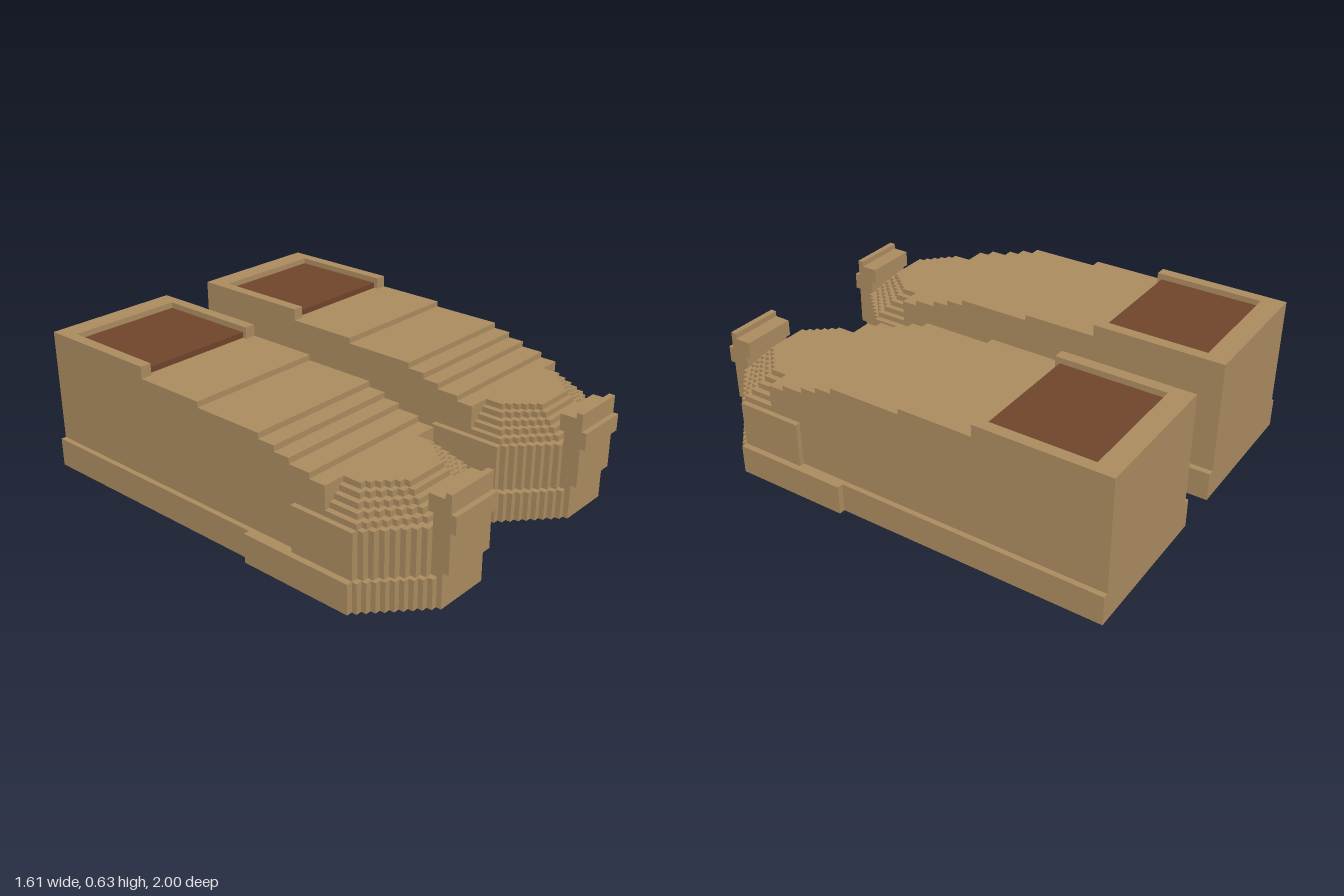
import * as THREE from 'three';

const leather = new THREE.MeshStandardMaterial({ color: 0xac8c60 });
leather.name = 'tan leather';
const lining = new THREE.MeshStandardMaterial({ color: 0x70452c });
lining.name = 'brown lining';

const TOE = [0.305, 0.555]; // x range of the toe tip

function createShoe(side) {
  const shoe = new THREE.Group();
  shoe.name = side > 0 ? 'leftShoe' : 'rightShoe';

  function add(name, geometry, material) {
    const mesh = new THREE.Mesh(geometry, material);
    mesh.name = name;
    shoe.add(mesh);
  }

  // Box from its minimum and maximum on each axis
  function box(name, [x0, x1], [y0, y1], [z0, z1], material = leather) {
    const g = new THREE.BoxGeometry(x1 - x0, y1 - y0, z1 - z0);
    g.translate(side * (x0 + x1) / 2, (y0 + y1) / 2, (z0 + z1) / 2);
    add(name, g, material);
  }

  // Flat slab whose front corners are cut into small stairs
  function steppedSlab(name, [x0, x1], [y0, y1], [z0, zs, z1], [t0, t1], steps) {
    const outline = [[x0, z0], [x0, zs]];
    const right = [[x1, z0], [x1, zs]];
    for (let i = 1; i <= steps; i++) {
      const za = zs + (z1 - zs) * (i - 1) / steps;
      const zb = zs + (z1 - zs) * i / steps;
      const xl = x0 + (t0 - x0) * i / steps;
      const xr = x1 + (t1 - x1) * i / steps;
      outline.push([xl, za], [xl, zb]);
      right.push([xr, za], [xr, zb]);
    }
    const points = [...outline, ...right.reverse()].map(([x, z]) => new THREE.Vector2(side * x, -z));
    const g = new THREE.ExtrudeGeometry(new THREE.Shape(points), { depth: y1 - y0, bevelEnabled: false });
    g.rotateX(-Math.PI / 2);
    g.translate(0, y0, 0);
    add(name, g, leather);
  }

  // Sole: narrow heel half and wide front half
  box('heelSole', [0.10, 0.78], [0, 0.13], [-1, 0.2]);
  steppedSlab('frontSole', [0.05, 0.807], [0, 0.13], [0.195, 0.72, 0.95], TOE, 10);

  // Toe box, starting a little further back on the inner side
  steppedSlab('toeBox', [0.10, 0.78], [0.13, 0.33], [0.42, 0.72, 0.925], TOE, 8);
  box('toeBoxInnerEdge', [0.10, 0.14], [0.13, 0.33], [0.39, 0.42]);

  // Rounded toe cap in shrinking layers
  const layerY = [0.33, 0.355, 0.38, 0.405, 0.43, 0.455];
  for (let i = 0; i < 5; i++) {
    const d = 0.025 * i;
    const t = 0.006 * i;
    steppedSlab('toeCapLayer', [0.127 + d, 0.757 - d], [layerY[i], layerY[i + 1]],
      [0.5, 0.72 - 0.017 * i, 0.875 - d], [TOE[0] + t, TOE[1] - t], 7 - Math.ceil(i / 2));
  }

  // Upper body, rising in steps towards the heel
  const steps = [[0.57, 0.455], [0.495, 0.48], [0.395, 0.505], [0.32, 0.53], [0.24, 0.555], [-0.09, 0.58]];
  let bottom = 0.13;
  for (const [z, top] of steps) {
    box('upperStep', [0.127, 0.757], [bottom, top], [-1, z]);
    bottom = top;
  }

  // Collar around the opening, open at the front
  box('collarBack', [0.127, 0.757], [0.58, 0.632], [-1, -0.905]);
  box('collarInner', [0.127, 0.177], [0.58, 0.632], [-0.905, -0.42]);
  box('collarOuter', [0.707, 0.757], [0.58, 0.632], [-0.905, -0.42]);
  box('insole', [0.177, 0.707], [0.58, 0.606], [-0.905, -0.44], lining);

  // Bumper on the toe tip
  box('bumperBase', TOE, [0.13, 0.155], [0.92, 0.95]);
  box('bumperPlate', TOE, [0.155, 0.33], [0.92, 0.977]);
  box('bumperRidge', TOE, [0.33, 0.405], [0.90, 1]);
  box('bumperTop', TOE, [0.385, 0.457], [0.877, 0.977]);
  box('bumperLip', TOE, [0.457, 0.482], [0.95, 0.977]);
  return shoe;
}

export function createModel() {
  const model = new THREE.Group();
  model.name = 'shoes';
  model.add(createShoe(1), createShoe(-1));
  return model;
}
